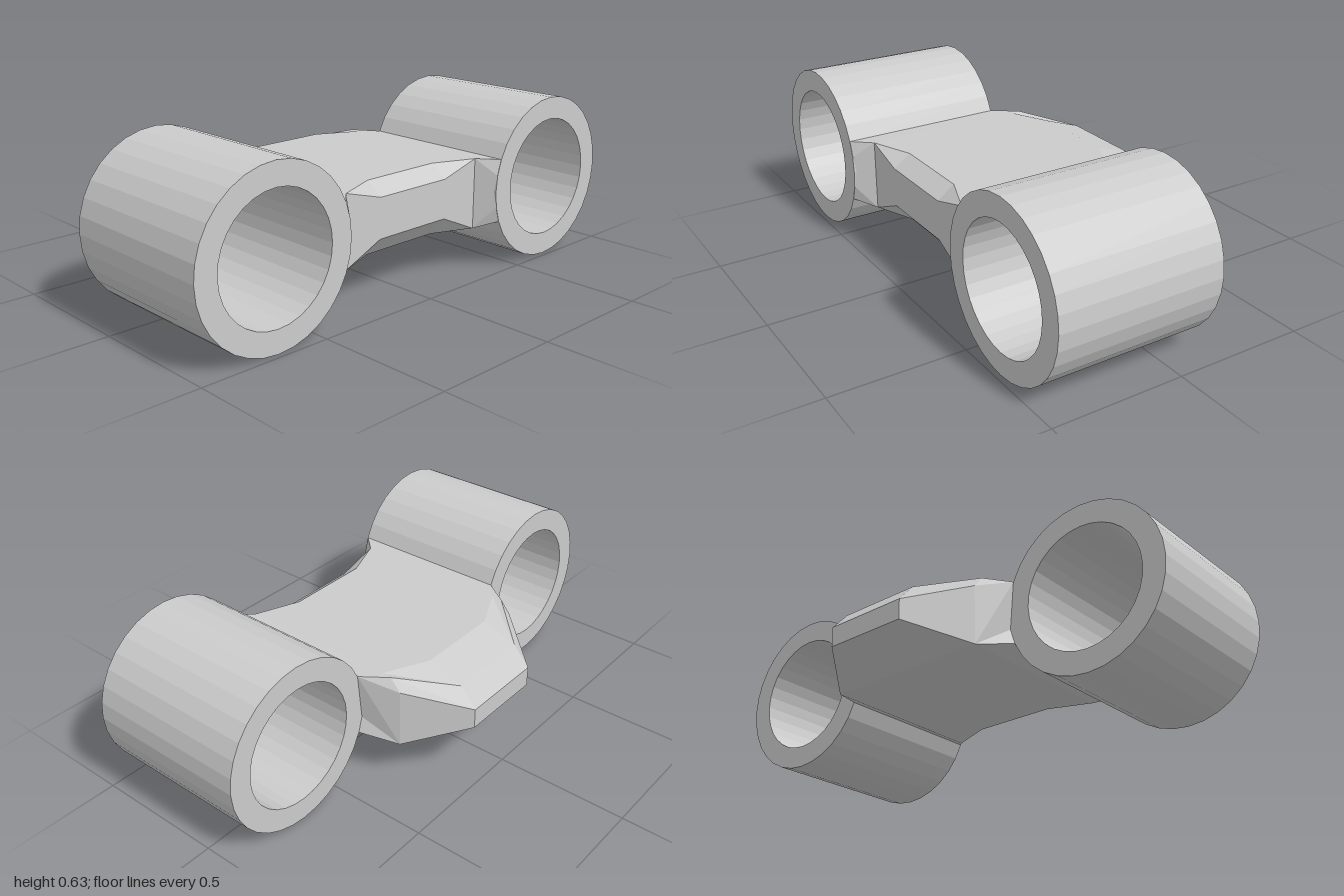
import * as THREE from 'three';

const material = new THREE.MeshStandardMaterial({ color: 0xcccccc, flatShading: true });

// Hollow bushing lying along x
function makeBushing(name, z) {
  const outer = 0.314, inner = 0.229, half = 0.314;
  const profile = [[inner, -half], [outer, -half], [outer, half], [inner, half], [inner, -half]]
    .map(([r, y]) => new THREE.Vector2(r, y));
  const mesh = new THREE.Mesh(new THREE.LatheGeometry(profile, 32), material);
  mesh.name = name;
  mesh.rotation.z = Math.PI / 2;
  mesh.position.set(0.167, 0.315, z);
  return mesh;
}

// Web between the bushings: half of its cross-sections, mirrored in z.
// Each runs from the -x bottom edge up, over the top and down the +x side.
function makeWeb() {
  const middle = [[-0.28, 0.167], [-0.48, 0.24], [-0.48, 0.317], [-0.415, 0.39], [-0.28, 0.437],
    [0.345, 0.437], [0.41, 0.39], [0.41, 0.24], [0.345, 0.167]].map(([x, y]) => [x, y, 0.165]);
  const shoulder = [[-0.28, 0.167], [-0.28, 0.167], [-0.28, 0.39], [-0.24, 0.437], [-0.2, 0.437],
    [0.41, 0.437], [0.41, 0.437], [0.41, 0.167], [0.41, 0.167]].map(([x, y]) => [x, y, 0.33]);
  // The ends follow the round outside of the bushing
  const end = [[-0.147, 0.195, 0.396], [-0.147, 0.254, 0.378], [-0.147, 0.435, 0.396],
    [-0.147, 0.436, 0.396], [-0.14, 0.436, 0.396], [0.48, 0.435, 0.396],
    [0.48, 0.376, 0.378], [0.48, 0.254, 0.378], [0.48, 0.195, 0.396]];

  const mirror = (section) => section.map(([x, y, z]) => [x, y, -z]);
  const sections = [mirror(end), mirror(shoulder), mirror(middle), middle, shoulder, end];
  const count = middle.length;
  const index = [];
  for (let i = 0; i < sections.length - 1; i++) {
    for (let j = 0; j < count; j++) {
      const k = (j + 1) % count;
      const a = i * count + j, b = i * count + k;
      const d = a + count, c = b + count;
      // Keep the diagonals mirrored about the middle
      if (i < 2) index.push(a, d, b, d, c, b);
      else index.push(a, d, c, a, c, b);
    }
  }
  const geometry = new THREE.BufferGeometry();
  geometry.setAttribute('position', new THREE.Float32BufferAttribute(sections.flat(2), 3));
  geometry.setIndex(index);
  geometry.computeVertexNormals();
  const mesh = new THREE.Mesh(geometry, material);
  mesh.name = 'connectingWeb';
  return mesh;
}

export function createModel() {
  const group = new THREE.Group();
  group.name = 'linkArm';
  group.add(makeBushing('frontBushing', 0.686), makeBushing('backBushing', -0.686), makeWeb());
  return group;
}
